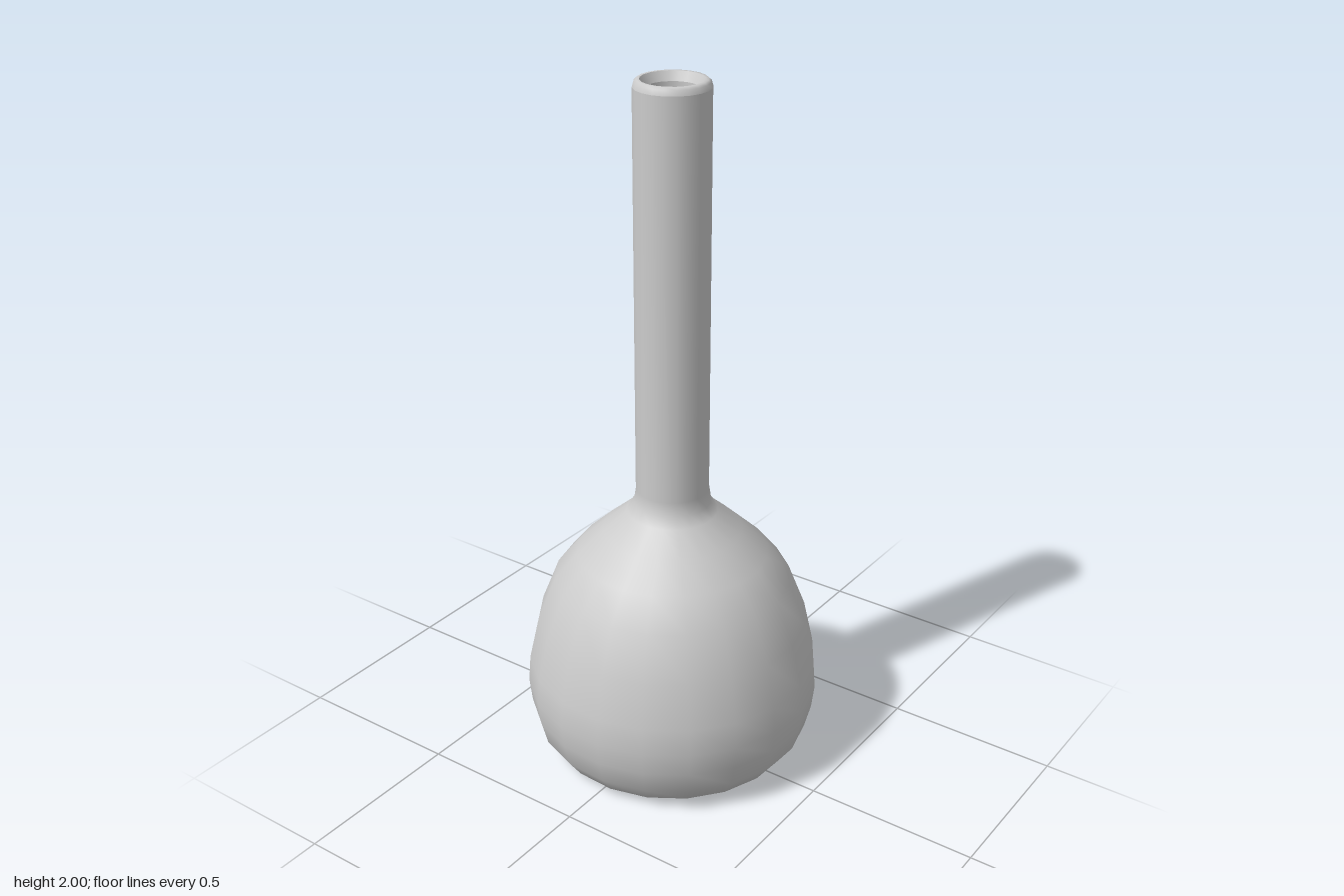
import * as THREE from 'three';

const SIDES = 20;
const START = THREE.MathUtils.degToRad(6);

export function createModel() {
  const group = new THREE.Group();
  group.name = 'flask';
  const material = new THREE.MeshStandardMaterial({ color: 0xcccccc });

  // Turns a [radius, height] profile into a 20-sided smooth surface
  const turn = (name, profile) => {
    const points = profile.map(([r, y]) => new THREE.Vector2(r, y));
    const mesh = new THREE.Mesh(new THREE.LatheGeometry(points, SIDES, START), material);
    mesh.name = name;
    group.add(mesh);
  };

  // Flat base, round bulb, shoulder and long straight neck
  turn('body', [
    [0, 0], [0.28, 0], [0.31, 0.003], [0.36, 0.025], [0.4, 0.08], [0.418, 0.15],
    [0.426, 0.22], [0.42, 0.3], [0.391, 0.43], [0.34, 0.56], [0.275, 0.64],
    [0.2, 0.71], [0.13, 0.77], [0.11, 0.8], [0.104, 0.84], [0.104, 1.98],
  ]);

  // Bevelled mouth
  turn('rim', [[0.104, 1.98], [0.1, 1.994], [0.093, 2], [0.085, 2]]);
  turn('innerLip', [[0.085, 2], [0.072, 1.975]]);

  // Bore of the neck and its floor
  turn('neckBore', [[0.072, 1.975], [0.072, 0.8]]);
  turn('boreFloor', [[0.072, 0.8], [0, 0.8]]);

  return group;
}
